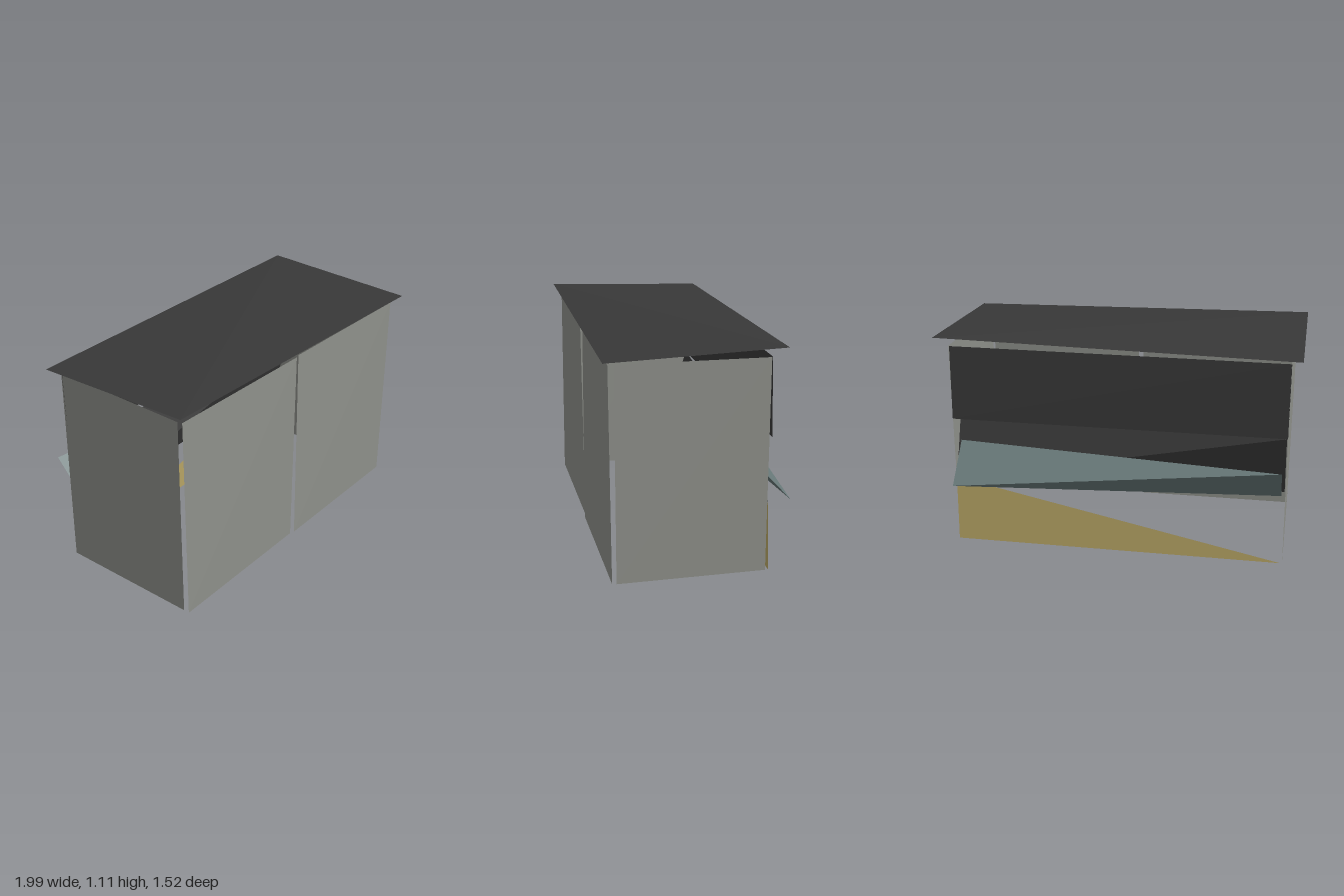
import * as THREE from 'three';

const material = (name, color) => {
  const m = new THREE.MeshStandardMaterial({ color, flatShading: true, side: THREE.DoubleSide });
  m.name = name;
  return m;
};

// Mesh from a list of flat triangles, each given as three [x, y, z] corners
function facets(name, mat, triangles) {
  const geometry = new THREE.BufferGeometry();
  geometry.setAttribute('position', new THREE.Float32BufferAttribute(triangles.flat(2), 3));
  geometry.computeVertexNormals();
  const mesh = new THREE.Mesh(geometry, mat);
  mesh.name = name;
  return mesh;
}

// Four-cornered closed sheet with a slight twist
const sheet = (name, mat, [p, s, q, t]) =>
  facets(name, mat, [[p, s, q], [p, q, t], [p, t, s], [s, t, q]]);

// Upright panel: opposite corners lie at depths zA and zB
const corners = (x0, x1, y0, y1, zA, zB) =>
  [[x1, y0, zA], [x1, y1, zB], [x0, y1, zA], [x0, y0, zB]];

export function createModel() {
  const wall = material('grey wall', 0x8e908a);
  const dark = material('charcoal', 0x383838);
  const teal = material('grey teal', 0x687979);
  const tan = material('tan', 0xb8a665);

  const stall = new THREE.Group();
  stall.name = 'stall';
  stall.rotation.y = THREE.MathUtils.degToRad(23.66);

  // Two front wall panels with a narrow gap between them
  [[-0.848, -0.017], [0.007, 0.838]].forEach(([x0, x1]) =>
    stall.add(sheet('frontWall', wall, corners(x0, x1, 0, 1.05, 0.382, 0.39))));

  // End walls
  const leftWall = sheet('leftWall', wall, corners(-0.362, 0.36, 0, 1.05, 0.838, 0.844));
  leftWall.rotation.y = Math.PI / 2;
  const rightWall = sheet('rightWall', wall, corners(-0.38, 0.36, 0, 1.05, 0.848, 0.854));
  rightWall.rotation.y = -Math.PI / 2;
  stall.add(leftWall, rightWall);

  // Back: upper panel, inward-leaning panel and projecting flap
  stall.add(
    sheet('backUpperPanel', dark, corners(-0.85, 0.838, 0.67, 1.05, -0.374, -0.366)),
    sheet('backInnerPanel', dark, corners(-0.845, 0.835, 0.345, 0.67, -0.367, -0.255)),
    sheet('counterFlap', teal, corners(-0.832, 0.82, 0.345, 0.532, -0.481, -0.31)));

  // Triangular lower back panel
  const [p, s, , t] = corners(-0.845, 0.838, 0, 0.345, -0.375, -0.365);
  stall.add(facets('backLowerPanel', tan, [[p, t, s]]));

  // Shallow roof, raised along one diagonal
  stall.add(sheet('roof', dark, [
    [-0.903, 1.105, 0.422], [0.903, 1.075, 0.422],
    [0.903, 1.105, -0.422], [-0.903, 1.075, -0.422]]));

  const model = new THREE.Group();
  model.name = 'model';
  model.add(stall);
  return model;
}
